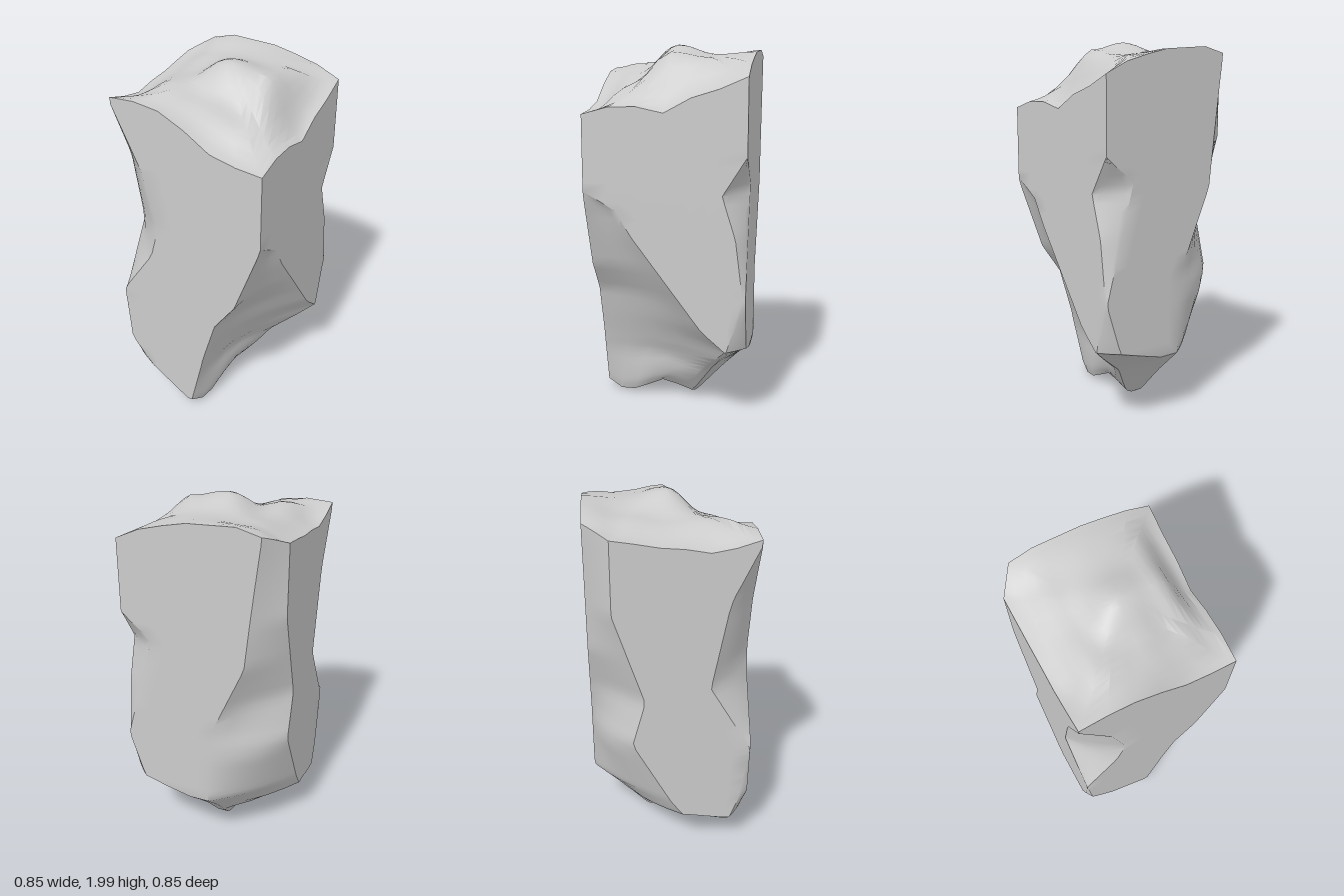
import * as THREE from 'three';
import { toCreasedNormals } from 'three/addons/utils/BufferGeometryUtils.js';

const HALF = 0.425; // half width of the square pillar
const SPLITS = 6; // segments along each flat side
const CHIP_SPLITS = 5; // segments across each chipped corner
const BODY_RINGS = 48;
const TOP_RINGS = 12;

// Value of a polyline [[key, value], ...] at key k
function along(line, k) {
  if (k <= line[0][0]) return line[0][1];
  for (let i = 1; i < line.length; i++) {
    const [k0, v0] = line[i - 1], [k1, v1] = line[i];
    if (k <= k1) return v0 + (v1 - v0) * (k - k0) / (k1 - k0);
  }
  return line[line.length - 1][1];
}

// Each flat side by height: where its plane lies, where the side starts and ends,
// and how far the chip after it bulges out, as a share of the chip's width
const front = {
  plane: [[0, HALF]],
  start: [[0, -.03], [.18, -.26], [.38, -.4], [.72, -HALF], [1, -.23], [1.18, -.18], [1.5, -.26], [1.96, -HALF]],
  end: [[0, 0], [.4, .08], [.67, .16], [.84, .28], [1.24, HALF]],
  bulge: [[.05, .05], [.3, -.08], [.8, -.08]],
};
const left = {
  plane: [[0, .04], [.24, .2], [.43, HALF]],
  start: [[0, 0], [.43, -.32], [.53, -.2], [1.02, .17], [1.18, .27], [1.24, HALF]],
  end: [[0, -.08], [.43, -.33], [.72, -.41], [1.03, -.37], [1.25, -.3], [1.45, -HALF]],
  bulge: [[0, .03]],
};
const back = {
  plane: [[0, -.1], [.2, -.27], [.36, -HALF]],
  start: [[0, .02], [.34, .02], [.43, .34], [.7, HALF], [1.31, .26], [1.44, HALF]],
  end: [[0, -.04], [.78, -.05], [1.24, -.25], [1.98, -.33]],
  bulge: [[.3, .04], [.65, .12], [1, 0]],
};
const right = {
  plane: [[0, -.08], [.09, -.16], [.13, -.33], [.21, -HALF]],
  start: [[0, 0], [.17, .09], [.74, -.21], [1, -.14], [1.5, -.3]],
  end: [[0, .25], [.33, .37], [.68, HALF], [1.07, .2], [1.62, .3], [1.96, HALF]],
  bulge: [[0, .05]],
};

// Rise of the underside from back to front
const UNDERSIDE = [[-.12, .03], [.08, .1], [.31, 0], [HALF, .06]];

// Heights of the broken top, rows from back to front, columns from -x to +x
const TOP = [
  [1.92, 1.975, 1.965, 1.93, 1.84],
  [1.87, 1.93, 1.95, 1.93, 1.76],
  [1.84, 1.90, 2.00, 1.96, 1.66],
  [1.81, 1.91, 1.86, 1.79, 1.70],
  [1.87, 1.88, 1.79, 1.67, 1.65],
];

// Softly blended height of the broken top
function topHeight(x, z) {
  const cell = (v) => {
    const c = (v / HALF + 1) * 2;
    return c - Math.sin(2 * Math.PI * c) / (3 * Math.PI);
  };
  const numbered = (row) => row.map((v, i) => [i, v]);
  return along(numbered(TOP.map((row) => along(numbered(row), cell(x)))), cell(z));
}

// Outline at one height: points along each side, then across each chipped corner
function outline(y) {
  const sides = [front, left, back, right];
  const spans = sides.map((side, i) => {
    const p = along(side.plane, y), a = along(side.start, y), b = along(side.end, y);
    return Array.from({ length: SPLITS + 1 }, (_, k) => {
      const s = a + (b - a) * k / SPLITS;
      return i % 2 ? [p, s] : [s, p];
    });
  });
  return spans.flatMap((span, i) => {
    const [ax, az] = span[SPLITS], [bx, bz] = spans[(i + 1) % 4][0];
    const dx = bx - ax, dz = bz - az, bulge = along(sides[i].bulge, y);
    const chip = [];
    for (let k = 1; k < CHIP_SPLITS; k++) {
      const t = k / CHIP_SPLITS, out = bulge * 4 * t * (1 - t);
      chip.push([ax + dx * t - dz * out, az + dz * t + dx * out]);
    }
    return [...span, ...chip];
  });
}

// Level ring fitted to the uneven underside and the broken top
function bodyRing(y) {
  return outline(y).map(([x, z]) => {
    if (y > 1.5) return [x, 1.5 + (y - 1.5) * (topHeight(x, z) - 1.5) / .5, z];
    return [x, y + along(UNDERSIDE, z) * Math.max(0, 1 - y / .35), z];
  });
}

// Closed skin over a stack of equal rings, running upward
function skin(rings) {
  const n = rings[0].length, index = [];
  for (let i = 0; i < rings.length - 1; i++) {
    for (let j = 0; j < n; j++) {
      const a = i * n + j, b = i * n + (j + 1) % n;
      index.push(a, b, b + n, a, b + n, a + n);
    }
  }
  const geometry = new THREE.BufferGeometry();
  geometry.setAttribute('position', new THREE.Float32BufferAttribute(rings.flat(2), 3));
  geometry.setIndex(index);
  return toCreasedNormals(geometry, THREE.MathUtils.degToRad(34));
}

export function createModel() {
  // Underside: a centre point and a ring halfway to its rim
  const base = bodyRing(0), middle = [-.01, .1, .1];
  const rings = [0, .5].map((k) => base.map(([x, , z]) => {
    const pz = middle[2] + (z - middle[2]) * k;
    return [middle[0] + (x - middle[0]) * k, along(UNDERSIDE, pz), pz];
  }));
  for (let i = 0; i <= BODY_RINGS; i++) rings.push(bodyRing(2 * (i / BODY_RINGS) ** 1.25));

  // Broken top, as rings shrinking to the middle
  const rim = rings[rings.length - 1];
  for (let i = TOP_RINGS - 1; i >= 0; i--) {
    const k = i / TOP_RINGS;
    rings.push(rim.map(([x, , z]) => [x * k, topHeight(x * k, z * k), z * k]));
  }

  const block = new THREE.Mesh(skin(rings), new THREE.MeshStandardMaterial({ color: 0xcccccc }));
  block.name = 'brokenPillarBlock';
  const model = new THREE.Group();
  model.name = 'brokenPillar';
  model.add(block);
  return model;
}
